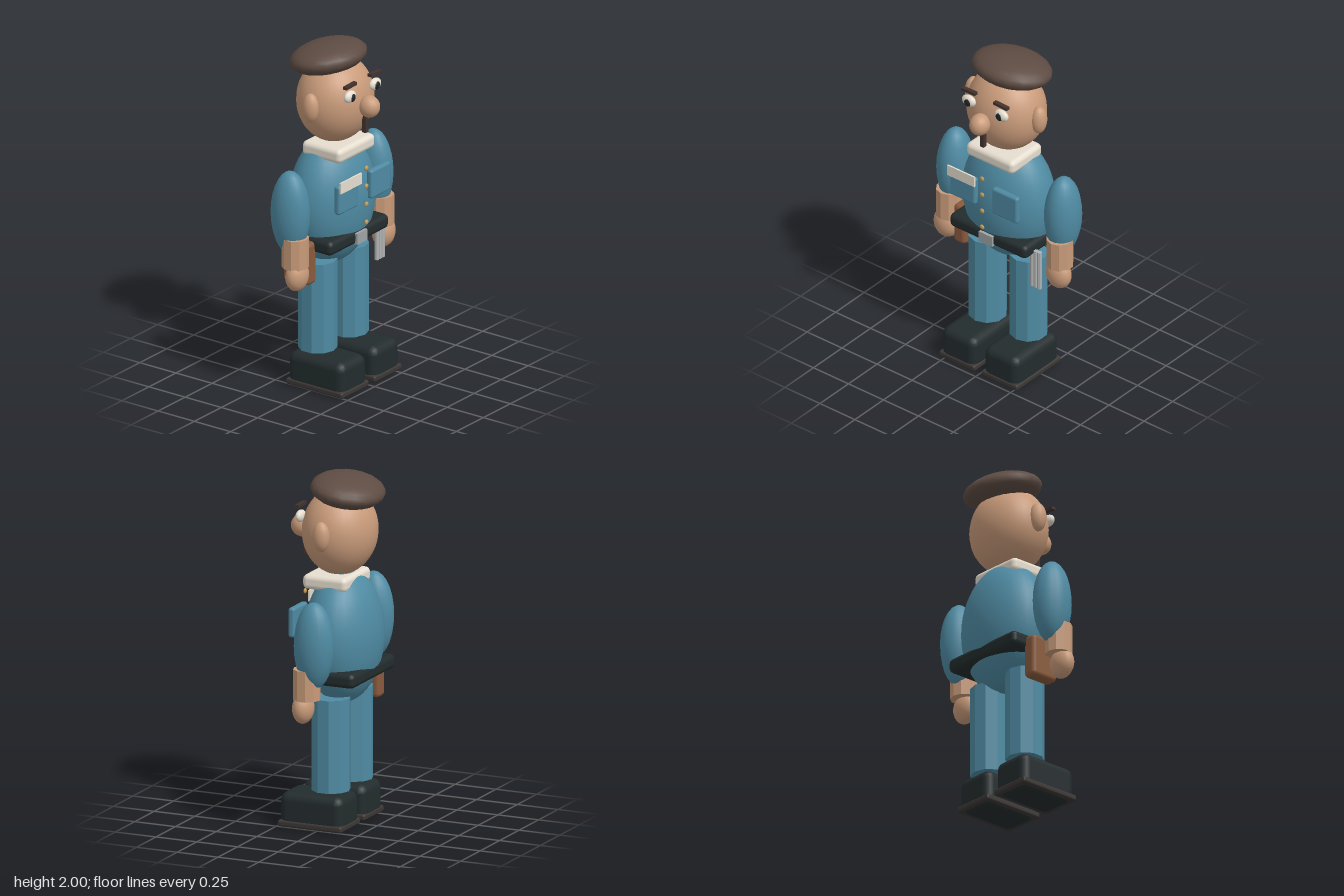
import * as THREE from 'three';
import { RoundedBoxGeometry } from 'three/addons/geometries/RoundedBoxGeometry.js';

const mat = (color, flatShading = false) => new THREE.MeshStandardMaterial({ color, flatShading });
const skin = mat(0xc99b7a), skinFlat = mat(0xc99b7a, true);
const shirt = mat(0x4f8ba3), trousers = mat(0x4f8ba3, true);
const felt = mat(0x5e4c43), black = mat(0x232c2d), rubber = mat(0x3b3735);
const cream = mat(0xe6decf), dark = mat(0x42322d), pupilMat = mat(0x1c2426);
const leather = mat(0x8a5b3d), steel = mat(0xa0a4a6), steelFlat = mat(0xb0b2b2, true), gold = mat(0xc79c4c);

export function createModel() {
  const model = new THREE.Group();
  model.name = 'officer';

  const add = (name, geometry, material, pos) => {
    const mesh = new THREE.Mesh(geometry, material);
    mesh.name = name;
    mesh.position.set(...pos);
    model.add(mesh);
    return mesh;
  };
  // Ellipsoid with radii r
  const blob = (name, material, pos, r, seg = 24) =>
    add(name, new THREE.SphereGeometry(1, seg, Math.round(seg * 0.75)).scale(...r), material, pos);
  // Box, rounded when a radius is given
  const box = (name, material, pos, s, radius = 0) =>
    add(name, radius ? new RoundedBoxGeometry(...s, 2, radius) : new THREE.BoxGeometry(...s), material, pos);
  const rod = (name, material, pos, r, h, seg) =>
    add(name, new THREE.CylinderGeometry(r, r, h, seg), material, pos);

  // Head and face
  blob('head', skin, [0, 1.67, -0.022], [0.235, 0.25, 0.208], 32);
  blob('beret', felt, [0, 1.905, -0.07], [0.24, 0.09, 0.205], 18).rotation.x = -0.17;
  blob('nose', skin, [0, 1.67, 0.212], [0.058, 0.064, 0.063], 16);
  box('moustache', dark, [0, 1.575, 0.184], [0.026, 0.13, 0.026]);

  // Torso and clothing
  blob('torso', shirt, [0, 1.07, -0.045], [0.29, 0.38, 0.21], 32);
  box('collar', cream, [0, 1.393, 0], [0.34, 0.085, 0.27], 0.03);
  box('belt', black, [0, 0.88, -0.041], [0.55, 0.085, 0.385], 0.03);
  box('buckle', steel, [0, 0.876, 0.153], [0.095, 0.065, 0.024]);
  box('nameTag', cream, [-0.148, 1.253, 0.195], [0.195, 0.065, 0.01]);
  for (const y of [1.295, 1.188, 1.08, 0.972]) blob('button', gold, [0, y, 0.193], [0.015, 0.015, 0.008], 12);

  // Belt equipment
  box('holster', leather, [-0.293, 0.78, -0.05], [0.085, 0.25, 0.18], 0.025);
  for (const x of [0.26, 0.285, 0.311]) rod('batonRod', steelFlat, [x, 0.752, 0.07], 0.014, 0.24, 8);

  // Paired parts
  for (const s of [-1, 1]) {
    blob('ear', skin, [s * 0.235, 1.682, -0.017], [0.045, 0.085, 0.05], 16);
    blob('eye', cream, [s * 0.116, 1.755, 0.165], [0.047, 0.035, 0.025], 16);
    blob('pupil', pupilMat, [s * 0.113, 1.752, 0.18], [0.024, 0.025, 0.014], 12);
    box('eyebrow', dark, [s * 0.114, 1.82, 0.165], [0.098, 0.017, 0.025]).rotation.z = -s * 0.03;
    box('pocket', shirt, [s * 0.15, 1.17, 0.165], [0.182, 0.17, 0.04], 0.015);

    blob('sleeve', shirt, [s * 0.385, 1.098, -0.045], [0.1, 0.248, 0.116], 18);
    rod('forearm', skinFlat, [s * 0.394, 0.877, -0.005], 0.077, 0.175, 10);
    blob('hand', skin, [s * 0.401, 0.74, 0.013], [0.08, 0.089, 0.058], 18);

    rod('leg', trousers, [s * 0.146, 0.485, -0.035], 0.11, 0.53, 10);
    box('shoe', black, [s * 0.151, 0.103, 0.035], [0.246, 0.205, 0.385], 0.05);
    box('sole', rubber, [s * 0.152, 0.027, 0.036], [0.256, 0.036, 0.392], 0.012);
  }
  return model;
}
